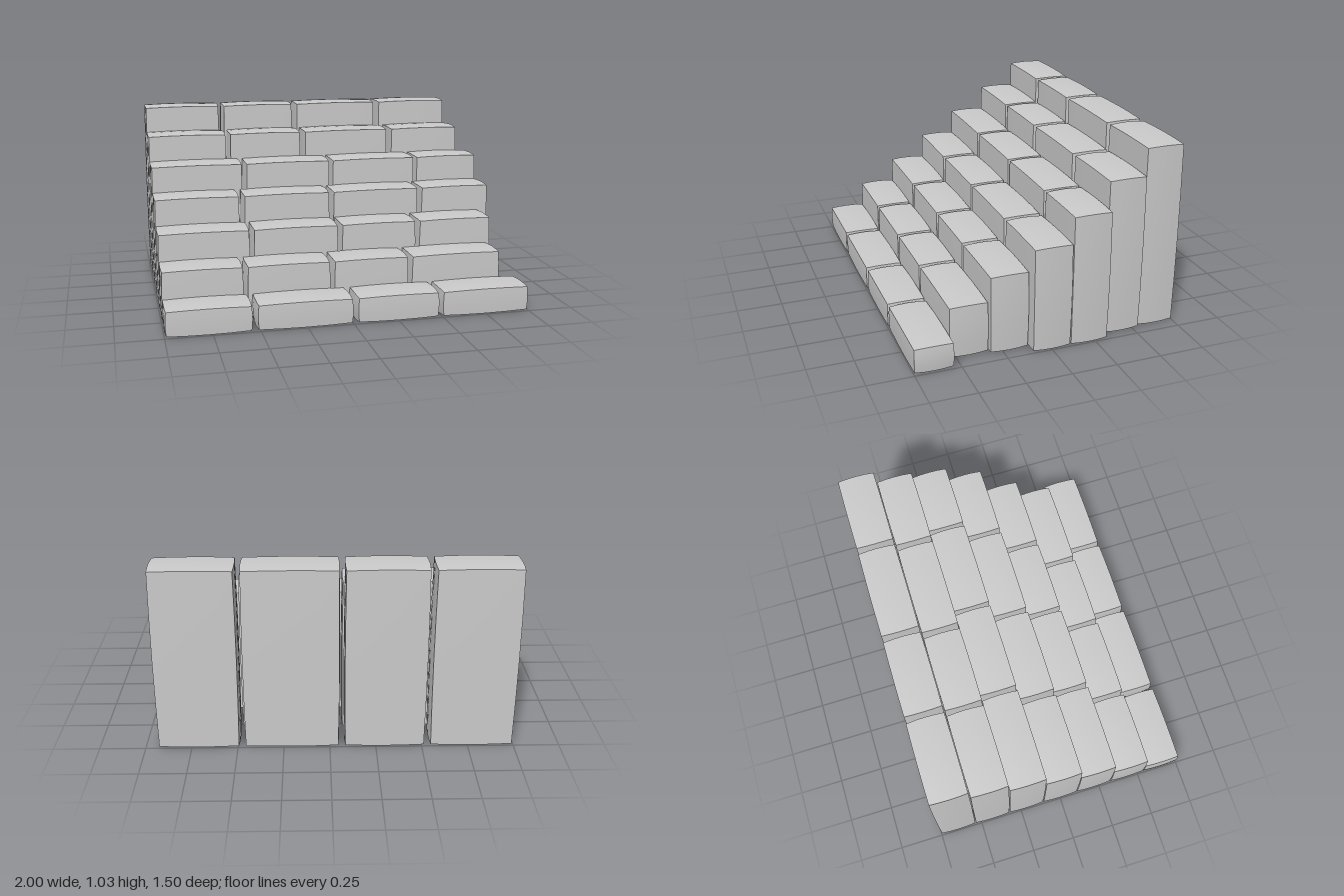
import * as THREE from 'three';

const material = new THREE.MeshStandardMaterial({ color: 0xcccccc });

// Start and end of every block along x, from the front row to the back row
const rows = [
  [[-1, -0.54], [-0.52, 0], [0.02, 0.48], [0.495, 0.995]],
  [[-1, -0.555], [-0.54, -0.075], [-0.06, 0.37], [0.385, 0.91]],
  [[-1, -0.485], [-0.47, 0.02], [0.035, 0.48], [0.495, 0.935]],
  [[-1, -0.51], [-0.49, 0.02], [0.035, 0.56], [0.575, 1]],
  [[-1, -0.46], [-0.445, 0.07], [0.08, 0.6], [0.61, 1]],
  [[-1, -0.525], [-0.51, -0.065], [-0.045, 0.49], [0.51, 0.95]],
  [[-1, -0.54], [-0.52, -0.075], [-0.055, 0.465], [0.485, 0.935]],
];
const DEPTH = 1.5 / rows.length;
const RISE = 0.1475;
const BULGE = 0.009;

// Box whose corners are drawn in slightly, so every face swells gently; edges stay sharp
function stoneBlock(width, height, depth) {
  const geometry = new THREE.BoxGeometry(2, 2, 2, 4, 4, 4);
  const p = geometry.attributes.position;
  for (let i = 0; i < p.count; i++) {
    const [u, v, w] = [p.getX(i), p.getY(i), p.getZ(i)];
    const inset = (a, b) => BULGE * (a * a + b * b) / 2;
    p.setXYZ(
      i,
      u * (width / 2 - inset(v, w)),
      v * (height / 2 - inset(u, w)),
      w * (depth / 2 - inset(u, v) * 0.4),
    );
  }
  geometry.computeVertexNormals();
  return geometry;
}

export function createModel() {
  const stairs = new THREE.Group();
  stairs.name = 'stoneStairs';

  // Each step is a row of full-height blocks reaching down to the ground
  rows.forEach((spans, r) => {
    const step = new THREE.Group();
    step.name = `step${r + 1}`;
    const height = RISE * (r + 1) + 0.001;
    step.position.set(0, height / 2, 0.75 - DEPTH * (r + 0.5));
    spans.forEach(([start, end], b) => {
      const block = new THREE.Mesh(stoneBlock(end - start, height, DEPTH), material);
      block.name = `stoneBlock${b + 1}`;
      block.position.x = (start + end) / 2;
      step.add(block);
    });
    stairs.add(step);
  });

  return stairs;
}
